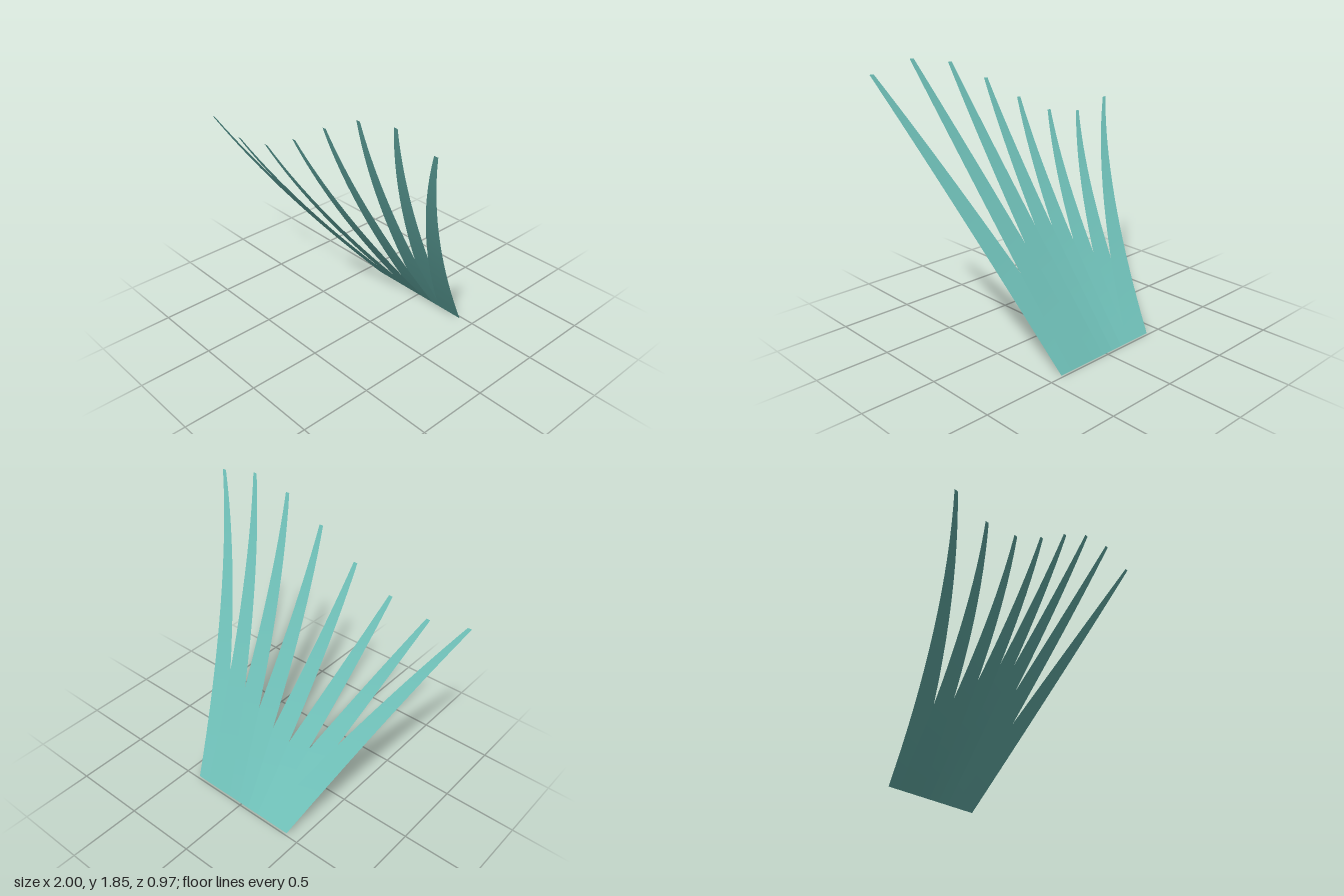
import * as THREE from 'three';

const SEGMENTS = 16;

// One flat tapering blade: a strip that always spans along x and follows a quadratic curve.
function bladeGeometry(baseX, tipX, height) {
  const depth = 0.483;
  const curve = new THREE.QuadraticBezierCurve3(
    new THREE.Vector3(baseX, 0, -depth),
    new THREE.Vector3((baseX + tipX) / 2, 0.73 * height - 0.22, depth * 0.4),
    new THREE.Vector3(tipX, height, depth)
  );
  const positions = [], indices = [];
  for (let i = 0; i <= SEGMENTS; i++) {
    const t = i / SEGMENTS;
    const p = curve.getPoint(t);
    const half = THREE.MathUtils.lerp(0.1, 0.014, t);
    positions.push(p.x - half, p.y, p.z, p.x + half, p.y, p.z);
    if (i < SEGMENTS) {
      const a = i * 2;
      indices.push(a, a + 2, a + 1, a + 1, a + 2, a + 3);
    }
  }
  const geometry = new THREE.BufferGeometry();
  geometry.setAttribute('position', new THREE.Float32BufferAttribute(positions, 3));
  geometry.setIndex(indices);
  geometry.computeVertexNormals();
  return geometry;
}

export function createModel() {
  const group = new THREE.Group();
  group.name = 'grassTuft';
  const material = new THREE.MeshStandardMaterial({ color: 0x6fc0b8, side: THREE.DoubleSide });

  // Blades fan out evenly in x, each with its own tip height
  const heights = [1.38, 1.32, 1.37, 1.5, 1.665, 1.8, 1.85, 1.79];
  heights.forEach((height, i) => {
    const f = (i / (heights.length - 1)) * 2 - 1;
    const blade = new THREE.Mesh(bladeGeometry(f * 0.3, f * 0.986, height), material);
    blade.name = `blade${i + 1}`;
    group.add(blade);
  });
  return group;
}
